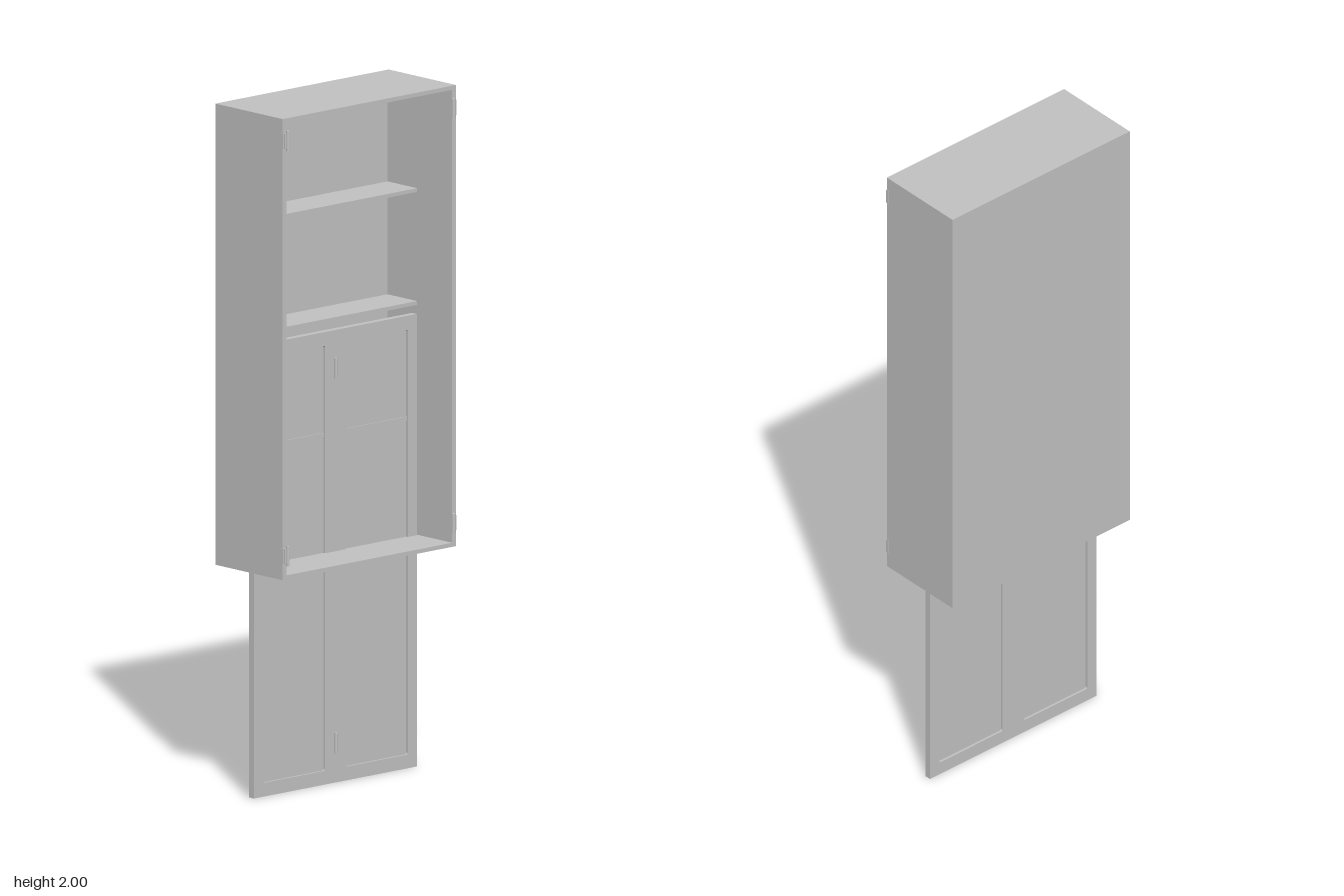
import * as THREE from 'three';

export function createModel() {
  const model = new THREE.Group();
  model.name = 'openCabinet';
  const grey = new THREE.MeshStandardMaterial({ color: 0xc0c0c0 });
  grey.name = 'plain grey';

  // Box given by its limits on each axis
  const box = (name, x0, x1, y0, y1, z0, z1, parent = model) => {
    const m = new THREE.Mesh(new THREE.BoxGeometry(x1 - x0, y1 - y0, z1 - z0), grey);
    m.position.set((x0 + x1) / 2, (y0 + y1) / 2, (z0 + z1) / 2);
    m.name = name;
    parent.add(m);
    return m;
  };
  const pin = (name, x, y, z, r, h, parent = model) => {
    const m = new THREE.Mesh(new THREE.CylinderGeometry(r, r, h, 16), grey);
    m.position.set(x, y, z);
    m.name = name;
    parent.add(m);
  };

  // Cabinet carcass
  const W = 0.335, T = 0.015, Y0 = 0.66, Y1 = 2, ZB = -0.148, ZF = 0.134;
  const inner = W - T;
  box('leftSide', inner, W, Y0, Y1, ZB, ZF);
  box('rightSide', -W, -inner, Y0, Y1, ZB, ZF);
  box('topBoard', -inner, inner, Y1 - 0.012, Y1, ZB, ZF);
  box('bottomBoard', -inner, inner, Y0, Y0 + 0.012, ZB, ZF);
  box('backBoard', -inner, inner, Y0 + 0.012, Y1 - 0.012, ZB, ZB + 0.012);

  // Shelves
  for (const y of [1.01, 1.34, 1.668]) {
    box('shelf', -inner, inner, y, y + 0.011, ZB + 0.012, -0.012);
  }

  // Hinges on the front corners
  for (const side of [-1, 1]) {
    for (const y of [0.729, 1.935]) {
      const hinge = new THREE.Group();
      hinge.name = 'cabinetHinge';
      pin('hingeKnuckle', side * 0.32, y, 0.14, 0.005, 0.058, hinge);
      const span = (a, b) => (side > 0 ? [a, b] : [-b, -a]);
      box('hingeLeaf', ...span(0.32, 0.331), y - 0.022, y + 0.022, ZF, 0.139, hinge);
      box('hingeSideLeaf', ...span(W - 0.003, W + 0.001), y - 0.022, y + 0.022, 0.126, 0.136, hinge);
      model.add(hinge);
    }
  }

  // Door pair: frame with two rounded openings and thin recessed panels
  const door = new THREE.Group();
  door.name = 'doors';
  const H = 1.315, DW = 0.315, DB = -0.028, DF = -0.008;
  const frame = new THREE.Shape([
    new THREE.Vector2(-DW, 0), new THREE.Vector2(DW, 0),
    new THREE.Vector2(DW, H), new THREE.Vector2(-DW, H),
  ]);
  const opening = (x0, x1, y0, y1, r) => {
    const p = new THREE.Path();
    p.absarc(x0 + r, y0 + r, r, -Math.PI / 2, Math.PI, true);
    p.absarc(x0 + r, y1 - r, r, Math.PI, Math.PI / 2, true);
    p.absarc(x1 - r, y1 - r, r, Math.PI / 2, 0, true);
    p.absarc(x1 - r, y0 + r, r, 0, -Math.PI / 2, true);
    p.closePath();
    return p;
  };
  for (const [x0, x1] of [[-0.28, -0.04], [0.04, 0.28]]) {
    frame.holes.push(opening(x0, x1, 0.04, H - 0.04, 0.006));
    box('doorPanel', x0 - 0.005, x1 + 0.005, 0.035, H - 0.035, -0.021, -0.015, door);
  }
  const frameMesh = new THREE.Mesh(
    new THREE.ExtrudeGeometry(frame, { depth: DF - DB, bevelEnabled: false, curveSegments: 4 }), grey);
  frameMesh.position.z = DB;
  frameMesh.name = 'doorFrame';
  door.add(frameMesh);

  // Fittings down the middle of the doors
  for (const y of [0.115, 1.205]) {
    box('doorHingeLeaf', -0.006, 0.006, y - 0.03, y + 0.03, DF, -0.004, door);
    pin('doorHingeKnuckle', 0, y, -0.005, 0.005, 0.058, door);
  }
  box('doorCatch', -0.006, 0.006, 0.652, 0.664, DF, -0.002, door);
  model.add(door);

  return model;
}
